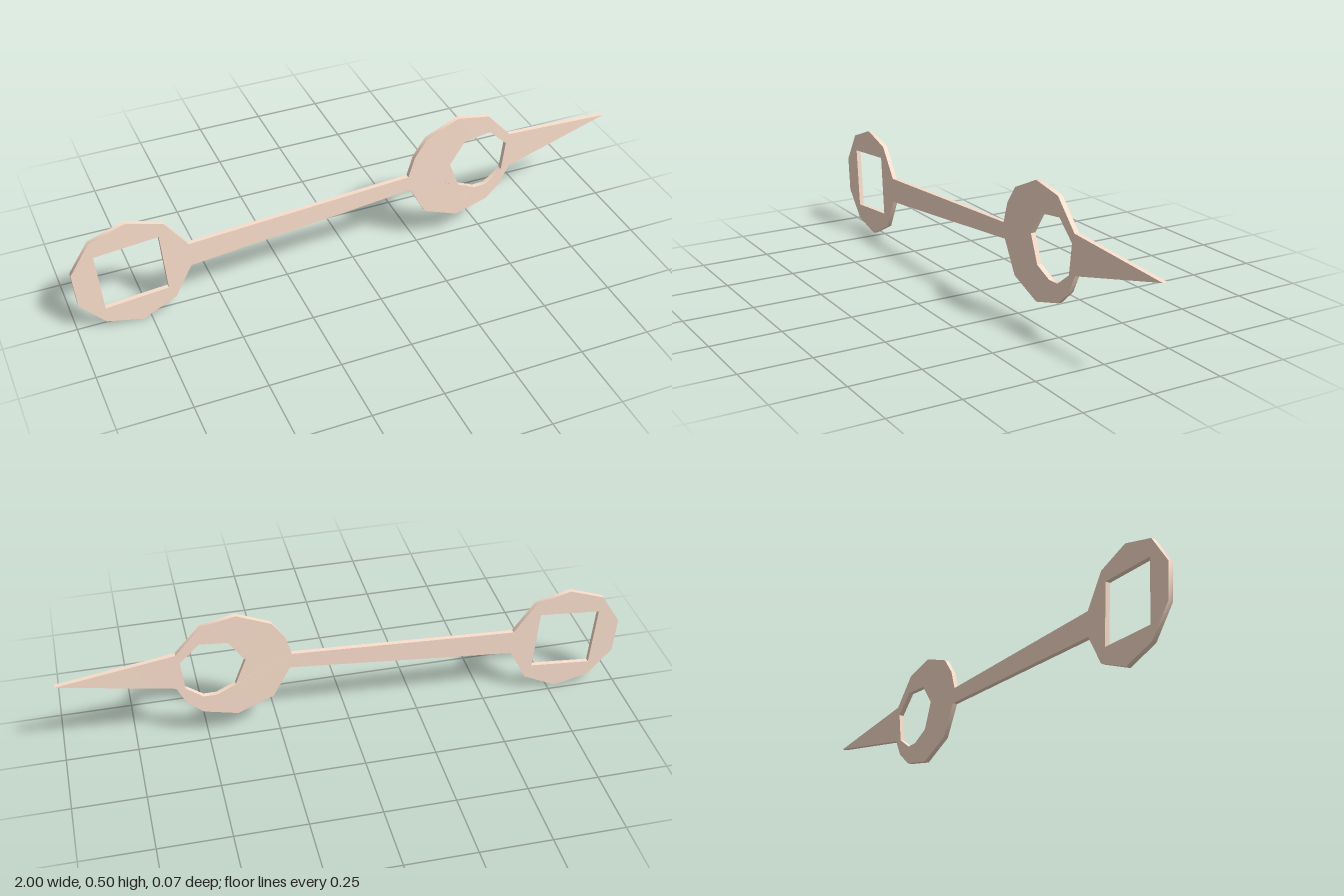
import * as THREE from 'three';
import { toCreasedNormals } from 'three/addons/utils/BufferGeometryUtils.js';

const points = (list) => list.map(([x, y]) => new THREE.Vector2(x, y));

// Outlines in the front plane: body clockwise, holes counter-clockwise
const squareHead = [[-0.6, 0.176], [-0.66, 0.06], [-0.78, 0], [-0.905, 0.031], [-0.99, 0.128],
  [-1, 0.255], [-0.93, 0.366], [-0.805, 0.41], [-0.68, 0.374], [-0.603, 0.266]];
const roundHeadTop = [[0.198, 0.312], [0.22, 0.385], [0.265, 0.45], [0.385, 0.503], [0.505, 0.48], [0.595, 0.381]];
const spikeTip = [[1, 0.342]];
const roundHeadBottom = [[0.602, 0.244], [0.572, 0.18], [0.515, 0.126], [0.395, 0.093], [0.267, 0.145], [0.207, 0.256]];
const squareHole = [[-0.92, 0.307], [-0.902, 0.087], [-0.683, 0.106], [-0.70, 0.326]];
const roundHole = [[0.36, 0.318], [0.398, 0.221], [0.465, 0.19], [0.51, 0.191],
  [0.57, 0.237], [0.583, 0.346], [0.515, 0.412], [0.415, 0.4]];

// Middle of the plate's thickness along its length: flat handle, spike swept back
const bend = [[-1, 0.025], [-0.3, 0.025], [0.2, 0.019], [0.4, 0.013], [0.6, 0.005], [1, -0.025]];
function bendAt(x) {
  for (let i = 1; i < bend.length; i++) {
    const [x0, z0] = bend[i - 1], [x1, z1] = bend[i];
    if (x <= x1) return THREE.MathUtils.mapLinear(x, x0, x1, z0, z1);
  }
  return bend[bend.length - 1][1];
}

export function createModel() {
  const group = new THREE.Group();
  group.name = 'wrench';

  // One flat plate: square-holed head, handle, round-holed head and spike
  const shape = new THREE.Shape(points([...squareHead, ...roundHeadTop, ...spikeTip, ...roundHeadBottom]));
  for (const hole of [squareHole, roundHole]) shape.holes.push(new THREE.Path(points(hole)));
  const thickness = 0.017;
  const geometry = new THREE.ExtrudeGeometry(shape, { depth: thickness, bevelEnabled: false });
  geometry.translate(0, 0, -thickness / 2);

  // Bend the plate backwards towards the spike
  const pos = geometry.attributes.position;
  for (let i = 0; i < pos.count; i++) pos.setZ(i, pos.getZ(i) + bendAt(pos.getX(i)));

  const plate = new THREE.Mesh(
    toCreasedNormals(geometry, 0.7),
    new THREE.MeshStandardMaterial({ color: 0xfadecb })
  );
  plate.name = 'wrenchPlate';
  group.add(plate);
  return group;
}
